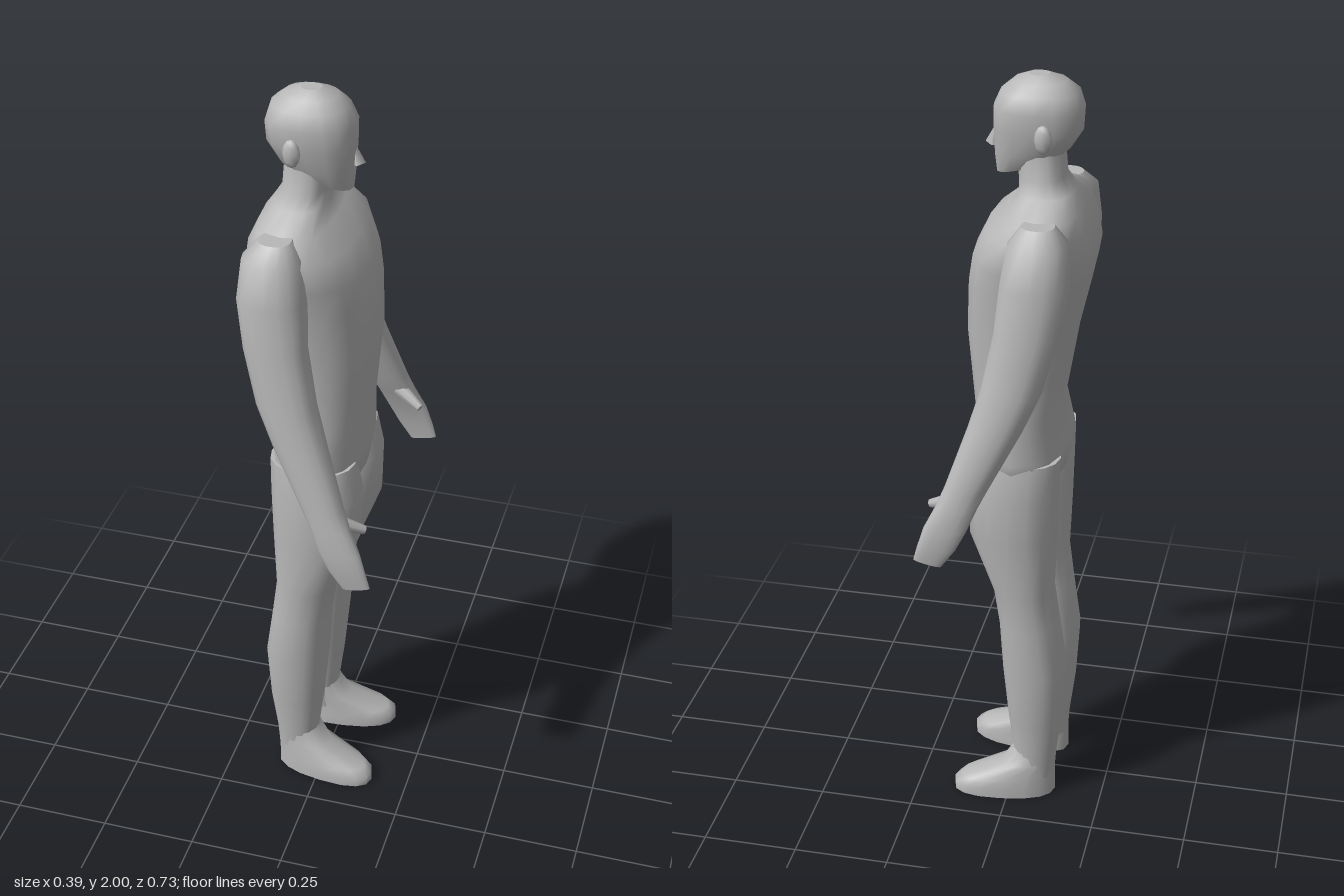
import * as THREE from 'three';

const SIDES = 16;

// Skin through horizontal sections listed from bottom to top:
// [y, xBack, xFront, zInner, zOuter, slope (dy/dx), shear (dz/dx)]
function loft(name, sections, material, side = 1, power = 2.4) {
  const pos = [], index = [];
  const ring = ([y, xb, xf, zi, zo, slope = 0, shear = 0]) => {
    const cx = (xb + xf) / 2, rx = (xf - xb) / 2;
    const cz = side * (zi + zo) / 2, rz = (zo - zi) / 2;
    const bend = (v) => Math.sign(v) * Math.abs(v) ** (2 / power);
    for (let j = 0; j < SIDES; j++) {
      const a = (j / SIDES) * Math.PI * 2;
      const dx = rx * bend(Math.cos(a));
      pos.push(cx + dx, y + slope * dx, cz + rz * bend(Math.sin(a)) + side * shear * dx);
    }
    return [cx, y, cz];
  };
  sections.forEach(ring);
  for (let i = 0; i < sections.length - 1; i++) {
    for (let j = 0; j < SIDES; j++) {
      const a = i * SIDES + j, b = i * SIDES + (j + 1) % SIDES;
      index.push(a, a + SIDES, b, b, a + SIDES, b + SIDES);
    }
  }
  // End caps with their own vertices, so that their rims stay crisp
  [sections[0], sections[sections.length - 1]].forEach((section, top) => {
    const start = pos.length / 3;
    pos.push(...ring(section));
    const centre = start + SIDES;
    for (let j = 0; j < SIDES; j++) {
      const a = start + j, b = start + (j + 1) % SIDES;
      index.push(centre, top ? b : a, top ? a : b);
    }
  });
  const geometry = new THREE.BufferGeometry();
  geometry.setAttribute('position', new THREE.Float32BufferAttribute(pos, 3));
  geometry.setIndex(index);
  geometry.computeVertexNormals();
  const mesh = new THREE.Mesh(geometry, material);
  mesh.name = name;
  return mesh;
}

// Tapered rod between two points
function rod(name, from, to, r0, r1, material) {
  const a = new THREE.Vector3(...from), b = new THREE.Vector3(...to);
  const dir = b.clone().sub(a);
  const mesh = new THREE.Mesh(new THREE.CylinderGeometry(r1, r0, dir.length(), 8), material);
  mesh.position.copy(a).add(b).multiplyScalar(0.5);
  mesh.quaternion.setFromUnitVectors(new THREE.Vector3(0, 1, 0), dir.normalize());
  mesh.name = name;
  return mesh;
}

const symmetric = (rows) => rows.map(([y, xb, xf, w, slope]) => [y, xb, xf, -w, w, slope]);

const TORSO = symmetric([
  [0.935, -0.09, 0.06, 0.1],
  [0.97, -0.125, 0.09, 0.185],
  [1.05, -0.138, 0.1, 0.197],
  [1.15, -0.117, 0.1, 0.184],
  [1.25, -0.135, 0.11, 0.178],
  [1.37, -0.155, 0.12, 0.186],
  [1.5, -0.185, 0.115, 0.2],
  [1.57, -0.2, 0.103, 0.22],
  [1.64, -0.187, 0.07, 0.23],
  [1.685, -0.165, 0.015, 0.2],
  [1.72, -0.14, -0.005, 0.1],
  [1.755, -0.118, -0.003, 0.074],
  [1.83, -0.112, 0, 0.068],
]);

const HEAD = symmetric([
  [1.775, -0.09, 0.053, 0.05, -0.25],
  [1.815, -0.128, 0.057, 0.073, -0.1],
  [1.87, -0.157, 0.06, 0.083],
  [1.92, -0.16, 0.06, 0.09],
  [1.96, -0.147, 0.042, 0.078],
  [1.985, -0.115, 0.012, 0.055],
  [2.0, -0.075, -0.025, 0.022],
]);

const ARM = [
  [0.84, 0.125, 0.195, 0.34, 0.355, 0.2],
  [0.885, 0.088, 0.185, 0.335, 0.361],
  [0.94, 0.06, 0.168, 0.322, 0.363],
  [1.0, 0.035, 0.138, 0.3, 0.357],
  [1.05, 0.01, 0.118, 0.28, 0.352],
  [1.2, -0.068, 0.067, 0.235, 0.335],
  [1.3, -0.112, 0.037, 0.214, 0.322],
  [1.44, -0.148, 0.01, 0.192, 0.305],
  [1.56, -0.168, 0, 0.15, 0.295],
  [1.655, -0.16, -0.015, 0.13, 0.273],
  [1.693, -0.125, -0.045, 0.15, 0.225],
];

const LEG = [
  [0.06, -0.12, -0.005, 0.05, 0.153],
  [0.13, -0.125, -0.01, 0.046, 0.156],
  [0.25, -0.14, 0.005, 0.036, 0.172],
  [0.41, -0.15, 0.02, 0.02, 0.186],
  [0.55, -0.13, 0.028, 0.02, 0.188],
  [0.65, -0.117, 0.042, 0.024, 0.19],
  [0.82, -0.124, 0.105, 0.012, 0.202],
  [0.95, -0.128, 0.108, 0.008, 0.203],
  [1.04, -0.13, 0.09, 0.02, 0.19],
];

const FOOT = [
  [0, -0.122, 0.152, 0.056, 0.178, 0, 0.12],
  [0.025, -0.122, 0.152, 0.056, 0.178, 0, 0.12],
  [0.056, -0.122, 0.13, 0.058, 0.173, -0.1, 0.1],
  [0.1, -0.122, 0.025, 0.052, 0.157, -0.2, 0.04],
  [0.14, -0.122, -0.01, 0.05, 0.153],
];

export function createModel() {
  const figure = new THREE.Group();
  figure.name = 'standingFigure';
  const grey = new THREE.MeshStandardMaterial({ color: 0xb8b8b8 });
  grey.name = 'plain grey';

  figure.add(loft('torso', TORSO, grey), loft('head', HEAD, grey));

  // Nose: a small wedge on the face
  const nose = new THREE.Mesh(new THREE.ConeGeometry(0.018, 0.055, 4), grey);
  nose.name = 'nose';
  nose.position.set(0.058, 1.847, 0);
  nose.rotation.z = 0.2;
  figure.add(nose);

  // Paired parts: ears, arms, thumbs, legs and feet
  for (const side of [1, -1]) {
    const prefix = side > 0 ? 'positiveZ' : 'negativeZ';
    const ear = new THREE.Mesh(new THREE.SphereGeometry(1, 8, 6), grey);
    ear.name = prefix + 'Ear';
    ear.scale.set(0.022, 0.036, 0.014);
    ear.position.set(-0.075, 1.865, side * 0.086);
    figure.add(
      ear,
      loft(prefix + 'Arm', ARM, grey, side, 2.2),
      rod(prefix + 'Thumb', [0.09, 1.012, side * 0.318], [0.163, 0.975, side * 0.283], 0.022, 0.011, grey),
      loft(prefix + 'Leg', LEG, grey, side, 2.2),
      loft(prefix + 'Foot', FOOT, grey, side),
    );
  }
  return figure;
}
